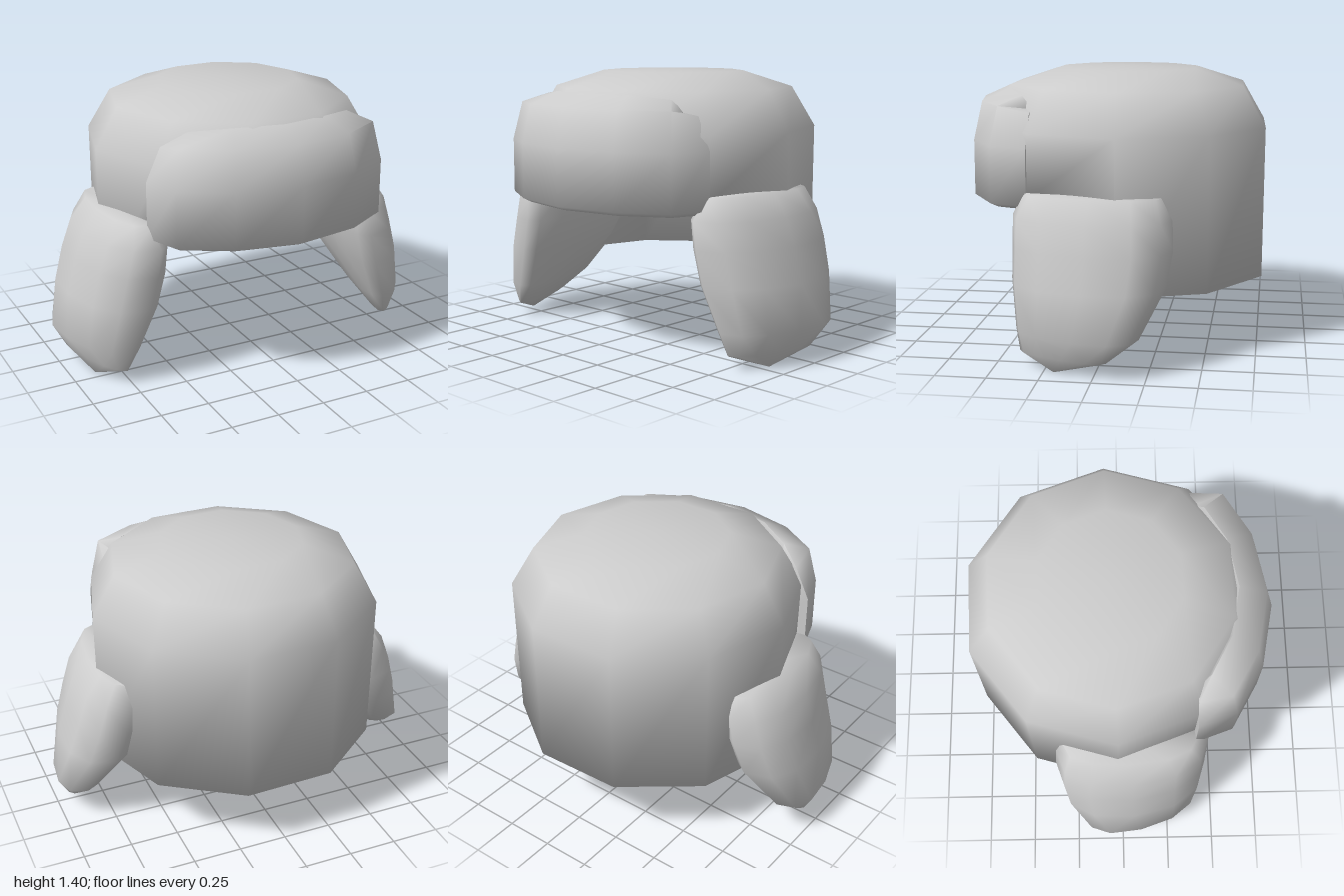
import * as THREE from 'three';
import { toCreasedNormals } from 'three/addons/utils/BufferGeometryUtils.js';

const material = new THREE.MeshStandardMaterial({ color: 0xcccccc });
const V = (x, y, z) => new THREE.Vector3(x, y, z);

// Skins a row of closed rings and closes both ends at the given tip points.
function loft(rings, startTip, endTip, crease) {
  const n = rings[0].length, m = rings.length;
  const pts = [...rings.flat(), startTip, endTip];
  const s = n * m, e = s + 1;
  const tris = [];
  for (let j = 0; j < n; j++) {
    const k = (j + 1) % n;
    tris.push([s, k, j], [e, (m - 1) * n + j, (m - 1) * n + k]);
    for (let i = 0; i < m - 1; i++) {
      const a = i * n + j, b = i * n + k, c = a + n, d = b + n;
      tris.push([a, b, d], [a, d, c]);
    }
  }
  // A negative enclosed volume means the faces point inwards.
  let volume = 0;
  for (const [a, b, c] of tris) volume += pts[a].dot(pts[b].clone().cross(pts[c]));
  if (volume < 0) tris.forEach((t) => t.reverse());
  const geo = new THREE.BufferGeometry().setFromPoints(pts);
  geo.setIndex(tris.flat());
  return toCreasedNormals(geo, crease);
}

function addPart(group, name, geo) {
  const mesh = new THREE.Mesh(geo, material);
  mesh.name = name;
  group.add(mesh);
}

// Ten-sided thin shell with a low neck guard; the rim rises at the front.
function crownGeometry() {
  const sides = 10, cx = 0.01, cz = -0.05;
  const ring = (r, y) => Array.from({ length: sides }, (_, i) => {
    const a = (i / sides) * Math.PI * 2 - 0.035;
    const front = Math.sin(a) > 0.3;
    return V(cx + r * Math.cos(a), y ?? (front ? 0.79 : 0.338), cz + r * Math.sin(a));
  });
  const rings = [
    ring(0.37, 1.398), ring(0.63, 1.315), ring(0.752, 1.11), ring(0.747), // outside
    ring(0.732), ring(0.735, 1.105), ring(0.618, 1.3), ring(0.365, 1.383), // inside
  ];
  return loft(rings, V(cx, 1.405, cz), V(cx, 1.39, cz), 1.9);
}

// Turned-up band, bent round the brow; its ends are cut square against the crown.
function browGeometry() {
  const cz = -0.05, endZ = 0.37;
  const half = [ // angle from the front, outer radius, top height, shoulder inset, shoulder height
    [0, 0.825, 1.3, 0.045, 1.235], [0.41, 0.83, 1.3, 0.045, 1.235],
    [0.745, 0.845, 1.28, 0.05, 1.235], [0.985, 0.77, 1.215, 0.095, 1.205],
  ];
  const mirrored = half.slice(1).reverse().map(([a, ...rest]) => [-a, ...rest]);
  const rings = [...mirrored, ...half].map(([a, r, h, inset, shoulder]) => [
    [r - 0.045, 0.733], [r, 0.755], [r, 1.04], [r - inset, shoulder],
    [r - 0.19, h], [r - 0.22, h - 0.1], [r - 0.16, 0.83], [r - 0.11, 0.745],
  ].map(([d, y]) => V(d * Math.sin(a), y, Math.max(endZ, cz + d * Math.cos(a)))));
  const tip = (side) => V(side * 0.57, 0.97, endZ);
  return loft(rings, tip(-1), tip(1), 1.3);
}

// Padded ear flap: lens-shaped sections, turned so the front edge hugs the cheek.
function earFlapGeometry(side) {
  const sections = [ // y, front edge x, back edge x, outer bulge, inner bulge, back z, front z
    [0.82, 0.62, 0.65, 0.135, 0.07, -0.31, 0.39],
    [0.71, 0.6, 0.66, 0.225, 0.1, -0.345, 0.45],
    [0.57, 0.62, 0.69, 0.25, 0.11, -0.352, 0.45],
    [0.4, 0.66, 0.745, 0.25, 0.105, -0.325, 0.445],
    [0.18, 0.74, 0.88, 0.175, 0.095, -0.21, 0.41],
    [0.07, 0.77, 0.92, 0.06, 0.05, -0.06, 0.385],
  ];
  const count = 12, soft = (v) => Math.sign(v) * Math.abs(v) ** 0.85;
  const rings = sections.map(([y, xf, xb, out, inn, zb, zf]) => Array.from({ length: count }, (_, i) => {
    const a = (i / count) * Math.PI * 2;
    const c = soft(Math.cos(a)), s = soft(Math.sin(a));
    const x = (xf + xb) / 2 + c * (xf - xb) / 2 + s * (s > 0 ? out : inn);
    return V(side * x, y, (zb + zf) / 2 + c * (zf - zb) / 2);
  }));
  return loft(rings, V(side * 0.66, 0.832, 0.05), V(side * 0.875, 0, 0.2), 1.3);
}

export function createModel() {
  const group = new THREE.Group();
  group.name = 'earFlapHat';
  addPart(group, 'crown', crownGeometry());
  addPart(group, 'browBand', browGeometry());
  addPart(group, 'leftEarFlap', earFlapGeometry(1));
  addPart(group, 'rightEarFlap', earFlapGeometry(-1));
  return group;
}
